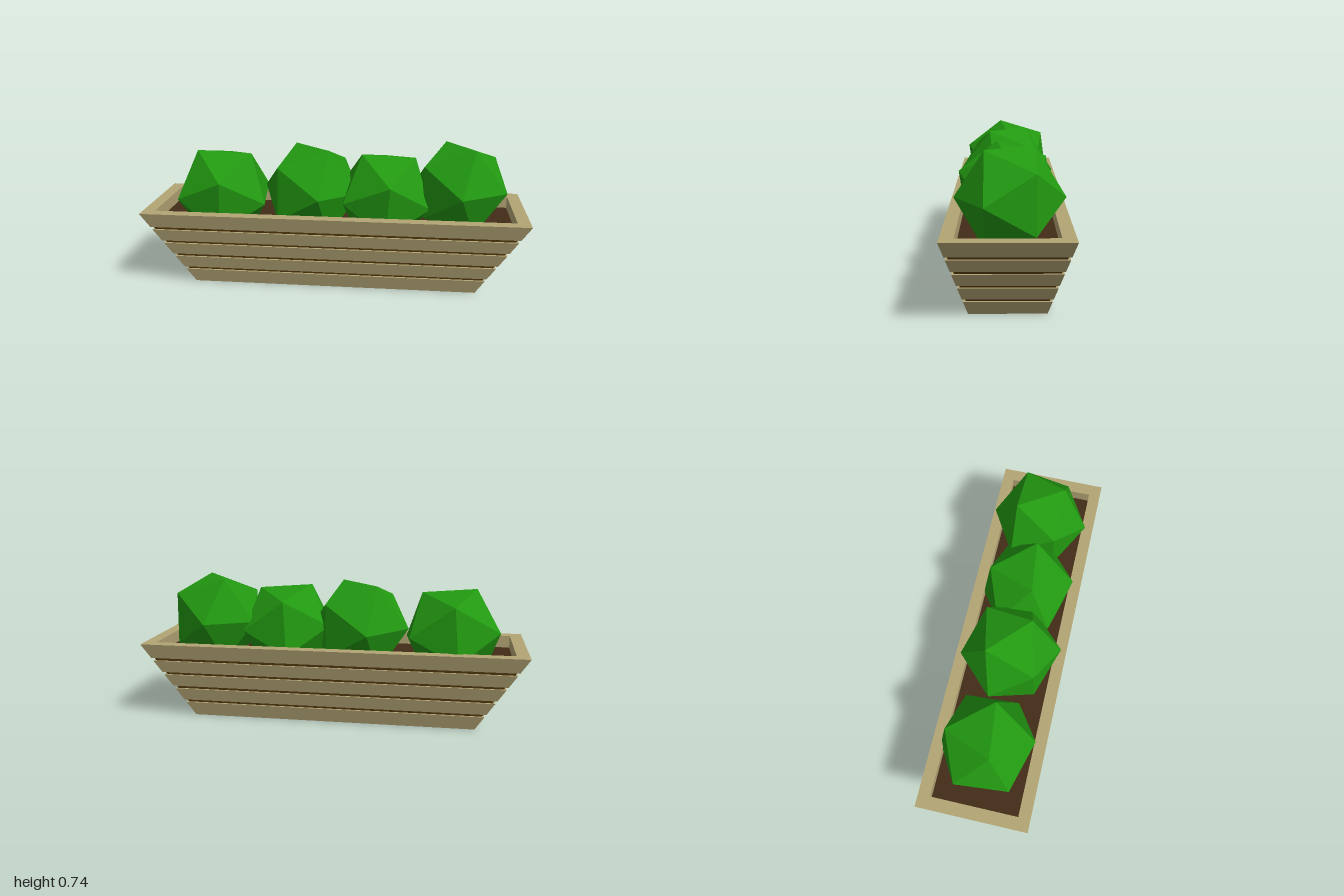
import * as THREE from 'three';

const WOOD = 0xb2a474, GROOVE = 0x5a4010, SOIL = 0x432c17, LEAF = 0x229911;
const HEIGHT = 0.41;

const paint = color => new THREE.MeshStandardMaterial({ color, flatShading: true });

// Skin a stack of rectangular rings [y, halfWidth, halfDepth]
function loft(rings) {
  const corners = [[1, 1], [1, -1], [-1, -1], [-1, 1]];
  const at = ([y, hx, hz], i) => [corners[i % 4][0] * hx, y, corners[i % 4][1] * hz];
  const pos = [];
  for (let r = 0; r < rings.length - 1; r++) {
    for (let i = 0; i < 4; i++) {
      const a = at(rings[r], i), b = at(rings[r], i + 1);
      const c = at(rings[r + 1], i + 1), d = at(rings[r + 1], i);
      pos.push(...a, ...b, ...c, ...a, ...c, ...d);
    }
  }
  const g = new THREE.BufferGeometry();
  g.setAttribute('position', new THREE.Float32BufferAttribute(pos, 3));
  g.computeVertexNormals();
  return g;
}

// Ring of the tapered box at height y, pulled in by inset
const ring = (y, inset = 0) => {
  const t = y / HEIGHT;
  return [y, 0.75 + 0.25 * t - inset, 0.18 + 0.107 * t - inset];
};

// Icosahedron turned so that one edge runs from direction a to direction b
function bush(center, radius, a, b) {
  const va = new THREE.Vector3(...a).normalize(), vb = new THREE.Vector3(...b).normalize();
  const y = va.clone().add(vb).normalize();
  const x = vb.clone().sub(va).normalize();
  const z = x.clone().cross(y);
  const g = new THREE.IcosahedronGeometry(radius, 0);
  g.applyMatrix4(new THREE.Matrix4().makeBasis(x, y, z));
  const mesh = new THREE.Mesh(g, paint(LEAF));
  mesh.position.set(...center);
  mesh.scale.z = 0.97;
  return mesh;
}

export function createModel() {
  const model = new THREE.Group();
  const add = (name, mesh) => { mesh.name = name; model.add(mesh); };

  // Five sloping slats; the top one carries the rim and inner wall
  const slats = new THREE.Group();
  const bottoms = [0, 0.09, 0.172, 0.252, 0.333];
  const tops = [0.075, 0.156, 0.237, 0.317, HEIGHT];
  bottoms.forEach((y0, i) => {
    const y1 = tops[i];
    const start = i === 0 ? [y0, 0, 0] : ring(y0, 0.03);
    const end = i === 4
      ? [[y1, 0.935, 0.225], [0.33, 0.935, 0.225]]
      : [ring(y1, 0.03)];
    const slat = new THREE.Mesh(loft([start, ring(y0), ring(y1), ...end]), paint(WOOD));
    slat.name = 'slat';
    slats.add(slat);
  });
  add('slats', slats);

  // Dark core showing in the gaps between slats
  add('grooves', new THREE.Mesh(loft([ring(0.05, 0.012), ring(0.35, 0.012)]), paint(GROOVE)));

  add('soil', new THREE.Mesh(loft([[0.345, 0.935, 0.225], [0.345, 0, 0]]), paint(SOIL)));

  // Bushes from right to left
  const tiltA = [0.238, -0.029, 0.125], tiltB = [0.048, 0.1, 0.245];
  add('bush', bush([-0.618, 0.46, -0.008], 0.272, tiltA, tiltB));
  add('bush', bush([-0.13, 0.492, 0.003], 0.27, [0.103, 0.235, 0.085], [0.06, 0, 0.26]));
  add('bush', bush([0.262, 0.466, 0.005], 0.268, tiltA, tiltB));
  add('bush', bush([0.657, 0.52, -0.01], 0.262, [0.26, 0.855, 0.447], [-0.29, 0.845, -0.447]));

  return model;
}
